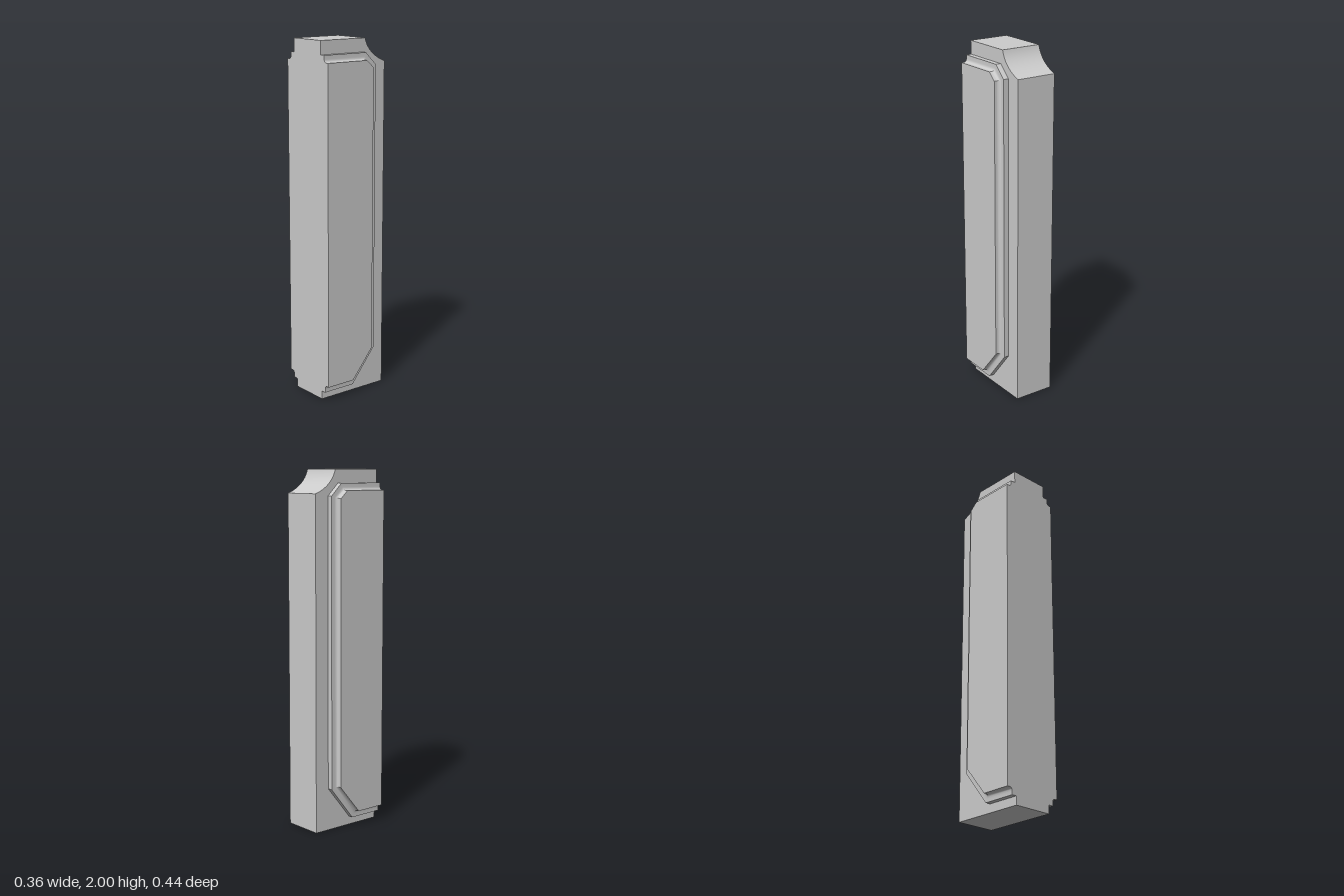
import * as THREE from 'three';
import { toCreasedNormals } from 'three/addons/utils/BufferGeometryUtils.js';

const FRONT = 0.219, BACK = -0.219, CORE = 0.117;
const material = new THREE.MeshStandardMaterial({ color: 0xcccccc });

// Panel outlines as [z, y], anticlockwise seen from +x
const OUTER = [[FRONT, 0.048], [0.022, 0.048], [-0.132, 0.24], [-0.132, 1.858], [-0.063, 1.925], [FRONT, 1.925]];
const INNER = [[FRONT, 0.088], [0.043, 0.088], [-0.092, 0.252], [-0.092, 1.845], [-0.047, 1.886], [FRONT, 1.886]];

// Stepped cove section: [x, blend from OUTER (0) to INNER (1)]
const SECTION = [[CORE, 0], [0.147, 0], [0.147, 0.55]];
for (let i = 1; i <= 5; i++) {
  const a = (i / 5) * Math.PI / 2;
  SECTION.push([0.163 - 0.016 * Math.cos(a), 0.55 + 0.45 * Math.sin(a)]);
}
SECTION.push([0.178, 1]);

// Loft the outlines outward along x, then close the outer face
function panelGeometry(side) {
  const rings = SECTION.map(([x, t]) => OUTER.map(([z, y], i) => [
    side * x,
    THREE.MathUtils.lerp(y, INNER[i][1], t),
    THREE.MathUtils.lerp(z, INNER[i][0], t),
  ]));
  const positions = [];
  const triangle = (a, b, c) => positions.push(...a, ...(side > 0 ? b : c), ...(side > 0 ? c : b));
  const n = OUTER.length;
  for (let r = 0; r < rings.length - 1; r++) {
    for (let j = 0; j < n; j++) {
      const k = (j + 1) % n, lo = rings[r], hi = rings[r + 1];
      triangle(lo[j], lo[k], hi[k]);
      triangle(lo[j], hi[k], hi[j]);
    }
  }
  const cap = rings[rings.length - 1];
  for (let j = 1; j < n - 1; j++) triangle(cap[0], cap[j], cap[j + 1]);
  const geometry = new THREE.BufferGeometry();
  geometry.setAttribute('position', new THREE.Float32BufferAttribute(positions, 3));
  return toCreasedNormals(geometry, 0.4);
}

// Central slab with a concave scoop at the top of its back edge
function coreGeometry() {
  const shape = new THREE.Shape();
  shape.moveTo(-FRONT, 0);
  shape.lineTo(-BACK, 0);
  shape.lineTo(-BACK, 1.87);
  shape.quadraticCurveTo(0.105, 1.91, 0.081, 2);
  shape.lineTo(-FRONT, 2);
  shape.closePath();
  const geometry = new THREE.ExtrudeGeometry(shape, { depth: 2 * CORE, bevelEnabled: false, curveSegments: 14 });
  geometry.translate(0, 0, -CORE);
  geometry.rotateY(Math.PI / 2);
  return toCreasedNormals(geometry, 0.4);
}

export function createModel() {
  const group = new THREE.Group();
  group.name = 'panelledPost';
  const add = (name, geometry) => {
    const mesh = new THREE.Mesh(geometry, material);
    mesh.name = name;
    group.add(mesh);
  };
  add('core', coreGeometry());
  add('leftPanel', panelGeometry(1));
  add('rightPanel', panelGeometry(-1));
  return group;
}
